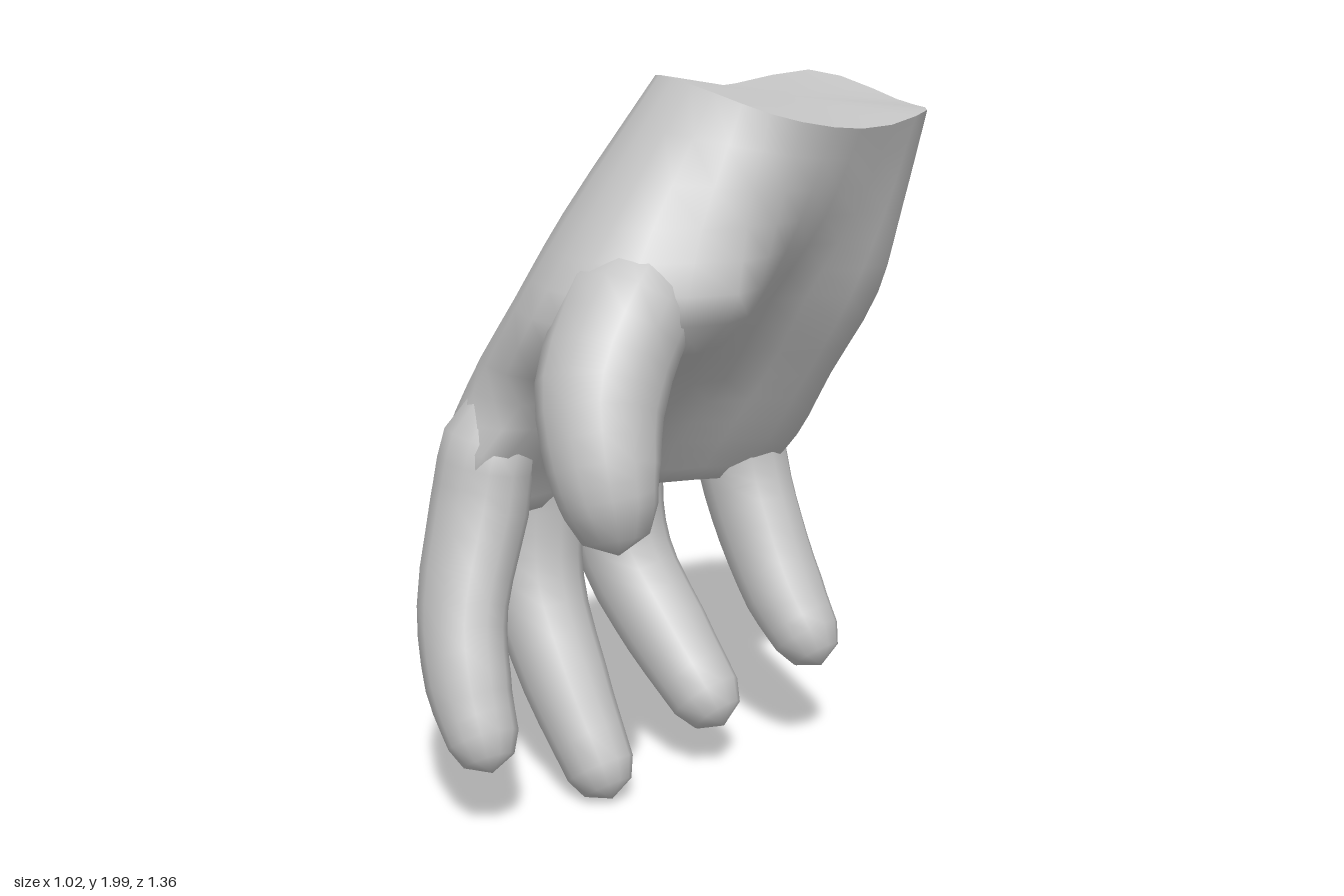
import * as THREE from 'three';

const skin = new THREE.MeshStandardMaterial({ color: 0xc4c4c4 });
skin.name = 'skin grey';
const V = (x, y, z) => new THREE.Vector3(x, y, z);

// Skin a list of rings; the first ring gets a flat, sharp-edged cap, the last a rounded one.
function skinRings(name, rings, end) {
  const n = rings[0].length, pos = [], idx = [];
  const add = (p) => pos.push(p.x, p.y, p.z) / 3 - 1;
  rings.forEach((r) => r.forEach(add));
  for (let i = 0; i < rings.length - 1; i++) {
    for (let j = 0; j < n; j++) {
      const a = i * n + j, b = i * n + (j + 1) % n;
      idx.push(a, b, a + n, b, b + n, a + n);
    }
  }
  const last = (rings.length - 1) * n, tip = add(end);
  const middle = rings[0].reduce((s, p) => s.add(p), V(0, 0, 0)).divideScalar(n);
  const cap = rings[0].map(add), top = add(middle);
  for (let j = 0; j < n; j++) {
    const k = (j + 1) % n;
    idx.push(tip, last + j, last + k, top, cap[k], cap[j]);
  }
  const g = new THREE.BufferGeometry();
  g.setAttribute('position', new THREE.Float32BufferAttribute(pos, 3));
  g.setIndex(idx);
  g.computeVertexNormals();
  const mesh = new THREE.Mesh(g, skin);
  mesh.name = name;
  return mesh;
}

// Finger swept along joints [x, y, z, half width, half thickness]; its thin root is buried in the palm.
function finger(name, joints) {
  const curve = new THREE.CatmullRomCurve3(joints.map((j) => V(j[0], j[1], j[2])));
  const steps = (joints.length - 1) * 3, sides = 12, rings = [];
  const ring = (c, t, w, h) => {
    const side = V(0, 0, 1).addScaledVector(t, -t.z).normalize();
    const palmward = side.clone().cross(t);
    return Array.from({ length: sides }, (_, k) => {
      const a = k / sides * Math.PI * 2;
      return c.clone().addScaledVector(palmward, Math.cos(a) * h).addScaledVector(side, Math.sin(a) * w);
    });
  };
  let c, t, w, h;
  for (let i = 0; i <= steps; i++) {
    const s = Math.min(Math.floor(i / 3), joints.length - 2), f = i / 3 - s;
    c = curve.getPoint(i / steps);
    t = curve.getTangent(i / steps);
    w = THREE.MathUtils.lerp(joints[s][3], joints[s + 1][3], f);
    h = THREE.MathUtils.lerp(joints[s][4], joints[s + 1][4], f);
    rings.push(ring(c, t, w, h));
  }
  // blunt fingertip
  rings.push(ring(c.clone().addScaledVector(t, w * 0.6), t, w * 0.72, h * 0.72));
  return skinRings(name, rings, c.clone().addScaledVector(t, w * 0.95));
}

// Palm outlines from wrist to finger roots: height, then [x, z] points
// running back of hand, outer edge, palm, ball of the thumb, thumb side.
const palmLevels = [
  [2.0, [[-0.13, -0.25], [-0.03, -0.54], [0.18, -0.68], [0.4, -0.58], [0.49, -0.27], [0.4, -0.05], [0.18, 0.03], [-0.04, -0.02]]],
  [1.65, [[-0.28, -0.2], [-0.18, -0.5], [0.1, -0.63], [0.37, -0.53], [0.38, -0.25], [0.41, 0.03], [0.23, 0.31], [-0.09, 0.24]]],
  [1.42, [[-0.39, -0.1], [-0.3, -0.46], [-0.02, -0.63], [0.31, -0.51], [0.23, -0.2], [0.43, 0.1], [0.22, 0.45], [-0.18, 0.34]]],
  [1.17, [[-0.47, -0.05], [-0.38, -0.43], [-0.14, -0.61], [0.15, -0.49], [0.04, -0.2], [0.05, 0.14], [-0.03, 0.42], [-0.32, 0.41]]],
  [0.96, [[-0.5, 0.02], [-0.42, -0.4], [-0.24, -0.59], [0.0, -0.5], [-0.12, -0.15], [-0.13, 0.22], [-0.14, 0.51], [-0.36, 0.47]]],
  [0.82, [[-0.48, 0.02], [-0.39, -0.36], [-0.26, -0.53], [-0.12, -0.47], [-0.22, -0.15], [-0.22, 0.18], [-0.2, 0.42], [-0.35, 0.38]]],
];

function palm() {
  const columns = 24;
  const outlines = palmLevels.map(([y, pts], level) => {
    const loop = new THREE.CatmullRomCurve3(pts.map(([x, z]) => V(x, y, z)), true);
    return Array.from({ length: columns }, (_, k) => {
      const p = loop.getPoint(k / columns);
      // slanted wrist cut
      if (level === 0) p.y -= (p.x > 0 ? 0.5 : 3) * p.x * p.x + 2 * Math.max(0, -0.5 - p.z) ** 2;
      return p;
    });
  });
  const lines = Array.from({ length: columns }, (_, k) =>
    new THREE.CatmullRomCurve3(outlines.map((o) => o[k])));
  const rings = Array.from({ length: 16 }, (_, i) => lines.map((l) => l.getPoint(i / 15)));
  return skinRings('palm', rings, V(-0.3, 0.84, -0.05));
}

export function createModel() {
  const hand = new THREE.Group();
  hand.name = 'hand';
  hand.add(
    palm(),
    finger('thumb', [
      [0.18, 1.68, 0.06, 0.04, 0.05], [0.23, 1.45, 0.26, 0.165, 0.18], [0.29, 1.26, 0.385, 0.165, 0.165],
      [0.365, 1.09, 0.43, 0.14, 0.14], [0.395, 0.99, 0.43, 0.115, 0.12],
    ]),
    finger('indexFinger', [
      [-0.18, 1.3, 0.27, 0.03, 0.04], [-0.22, 1.03, 0.4, 0.125, 0.14], [-0.22, 0.85, 0.44, 0.13, 0.15],
      [-0.17, 0.6, 0.53, 0.115, 0.15], [-0.08, 0.42, 0.57, 0.11, 0.135], [0.01, 0.29, 0.58, 0.095, 0.1],
    ]),
    finger('middleFinger', [
      [-0.25, 1.25, 0.18, 0.03, 0.04], [-0.32, 1.0, 0.2, 0.13, 0.15], [-0.35, 0.8, 0.19, 0.145, 0.155],
      [-0.31, 0.56, 0.205, 0.135, 0.145], [-0.16, 0.32, 0.21, 0.12, 0.13], [0.0, 0.1, 0.2, 0.095, 0.105],
    ]),
    finger('ringFinger', [
      [-0.25, 1.25, -0.12, 0.03, 0.04], [-0.32, 1.0, -0.11, 0.13, 0.15], [-0.355, 0.8, -0.1, 0.14, 0.155],
      [-0.31, 0.59, -0.11, 0.135, 0.145], [-0.15, 0.39, -0.14, 0.125, 0.13], [0.01, 0.23, -0.165, 0.105, 0.105],
    ]),
    finger('littleFinger', [
      [-0.12, 1.22, -0.4, 0.03, 0.04], [-0.2, 1.0, -0.44, 0.12, 0.15], [-0.19, 0.83, -0.455, 0.13, 0.15],
      [-0.11, 0.65, -0.46, 0.125, 0.14], [0.0, 0.48, -0.465, 0.12, 0.12], [0.09, 0.37, -0.475, 0.1, 0.1],
    ]),
  );
  return hand;
}
